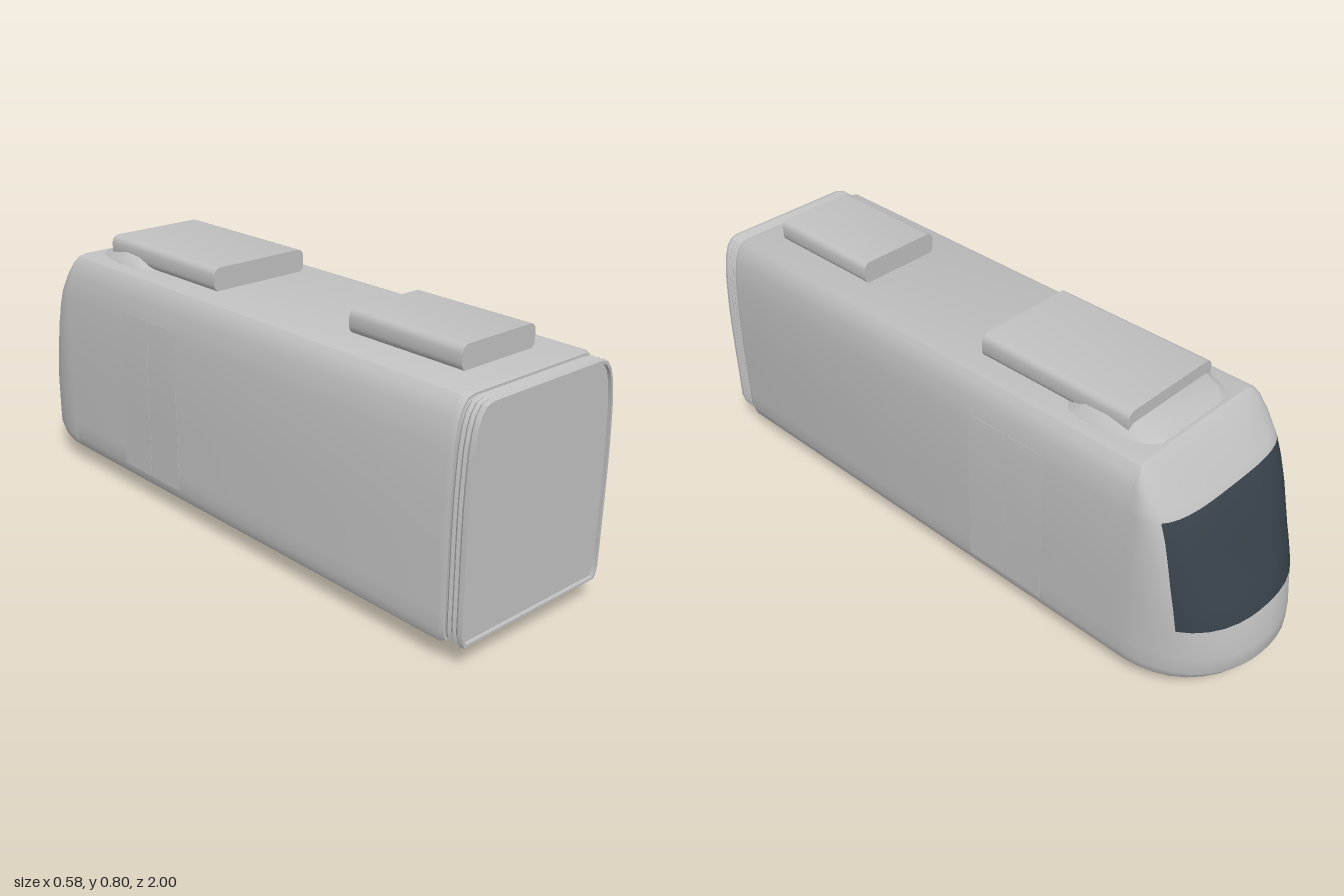
import * as THREE from 'three';
import { toCreasedNormals } from 'three/addons/utils/BufferGeometryUtils.js';

const paint = new THREE.MeshStandardMaterial({ color: 0xc0c0c0 });
paint.name = 'light grey paint';
const glass = new THREE.MeshStandardMaterial({ color: 0x38424a });
glass.name = 'dark glass';

// Nose rows, top to bottom: height, half width, foremost z
const ROWS = [
  [0.725, 0.215, -0.70], [0.718, 0.24, -0.712], [0.695, 0.258, -0.737], [0.66, 0.27, -0.77],
  [0.61, 0.278, -0.812], [0.59, 0.28, -0.828], [0.54, 0.283, -0.857], [0.47, 0.286, -0.887],
  [0.4, 0.287, -0.914], [0.33, 0.287, -0.945], [0.255, 0.286, -0.977], [0.155, 0.285, -0.997],
  [0.1, 0.284, -0.997], [0.075, 0.277, -0.978], [0.065, 0.272, -0.968],
];
const NOSE_Z = -0.7;
const MID_Y = 0.395;

function geometryFrom(pos, idx) {
  const g = new THREE.BufferGeometry();
  g.setAttribute('position', new THREE.Float32BufferAttribute(pos, 3));
  g.setIndex(idx);
  return g;
}

// Skin over counter-clockwise xy loops, each { z, pts }, closed at both ends
function loft(stations, crease = 0.6) {
  const n = stations[0].pts.length;
  const pos = [], idx = [];
  for (const s of stations) for (const [x, y] of s.pts) pos.push(x, y, s.z);
  for (let i = 0; i < stations.length - 1; i++) {
    for (let j = 0; j < n; j++) {
      const a = i * n + j, b = i * n + (j + 1) % n;
      idx.push(a, b, b + n, a, b + n, a + n);
    }
  }
  const cap = (s) => THREE.ShapeUtils.triangulateShape(
    s.pts.map(([x, y]) => new THREE.Vector2(x, y)), []);
  const last = (stations.length - 1) * n;
  for (const [a, b, c] of cap(stations[0])) idx.push(a, c, b);
  for (const [a, b, c] of cap(stations[stations.length - 1])) idx.push(last + a, last + b, last + c);
  return toCreasedNormals(geometryFrom(pos, idx), crease);
}

// Body cross-section scaled about its middle
function section(scale) {
  const right = [...ROWS].reverse().map(([y, w]) => [w * scale, MID_Y + (y - MID_Y) * scale]);
  const left = [...right].reverse().map(([x, y]) => [-x, y]);
  return [...right, ...left];
}

const rings = (list) => list.map(([z, s]) => ({ z, pts: section(s) }));

// Rounded nose with the windscreen as a second material group
function noseGeometry() {
  const half = [0, 1, 3, 6, 12, 22, 32, 42, 52, 62, 72, 80, 86];
  const cols = [...half, 90, ...[...half].reverse().map((t) => 180 - t)];
  const n = cols.length;
  const pos = [], painted = [], glazed = [];
  ROWS.forEach(([y, w, zf]) => {
    // Plan outline gets squarer towards the roof
    const p = 2 / THREE.MathUtils.mapLinear(Math.max(y, 0.2), 0.2, 0.725, 2.2, 3.8);
    for (const deg of cols) {
      const t = THREE.MathUtils.degToRad(deg);
      const c = deg === 90 ? 0 : Math.cos(t);
      const s = deg === 180 ? 0 : Math.sin(t);
      pos.push(w * Math.sign(c) * Math.abs(c) ** p, y, NOSE_Z + (zf - NOSE_Z) * s ** p);
    }
  });
  for (let r = 0; r < ROWS.length - 1; r++) {
    for (let c = 0; c < n - 1; c++) {
      const inGlass = ROWS[r][0] <= 0.59 && ROWS[r + 1][0] >= 0.255
        && cols[c] >= 32 && cols[c + 1] <= 148;
      const a = r * n + c, b = a + n;
      (inGlass ? glazed : painted).push(a, b, b + 1, a, b + 1, a + 1);
    }
  }
  const g = geometryFrom(pos, [...painted, ...glazed]);
  g.computeVertexNormals();
  g.addGroup(0, painted.length, 0);
  g.addGroup(painted.length, glazed.length, 1);

  // Flat floor under the nose
  const start = (ROWS.length - 1) * n * 3;
  const floorPos = [0, ROWS[ROWS.length - 1][0], NOSE_Z, ...pos.slice(start)];
  const floorIdx = [];
  for (let c = 1; c < n; c++) floorIdx.push(0, c + 1, c);
  const floor = geometryFrom(floorPos, floorIdx);
  floor.computeVertexNormals();
  return { g, floor };
}

// Roof box with softened long edges
function roofBox(w, y0, y1, z0, z1) {
  const r = 0.022, pts = [];
  const corners = [[w - r, y0 + r, -90], [w - r, y1 - r, 0], [-w + r, y1 - r, 90], [-w + r, y0 + r, 180]];
  for (const [cx, cy, a0] of corners) {
    for (let k = 0; k <= 3; k++) {
      const a = THREE.MathUtils.degToRad(a0 + k * 30);
      pts.push([cx + r * Math.cos(a), cy + r * Math.sin(a)]);
    }
  }
  return loft([{ z: z0, pts }, { z: z1, pts }], 0.7);
}

export function createModel() {
  const model = new THREE.Group();
  model.name = 'tramCar';
  const add = (name, geo, mat = paint, parent = model) => {
    const m = new THREE.Mesh(geo, mat);
    m.name = name;
    parent.add(m);
    return m;
  };

  // Shell and nose
  add('bodyShell', loft(rings([[NOSE_Z, 1], [0.925, 1], [0.942, 0.98]])));
  const nose = noseGeometry();
  add('noseAndWindscreen', nose.g, [paint, glass]);
  add('noseFloor', nose.floor);

  // Ribbed gangway with a recessed end panel
  add('gangway', loft(rings([
    [0.935, 0.962], [0.948, 0.962], [0.955, 0.978], [0.963, 0.962], [0.971, 0.978],
    [0.979, 0.962], [0.987, 0.978], [1, 0.97], [1, 0.948], [0.99, 0.946],
  ]), 0.4));

  // Roof equipment
  add('frontRoofUnit', roofBox(0.174, 0.722, 0.795, -0.605, -0.083));
  add('rearRoofUnit', roofBox(0.14, 0.722, 0.793, 0.445, 0.838));
  const fairing = [
    [-0.69, 0.15, 0.001], [-0.65, 0.18, 0.018], [-0.6, 0.195, 0.032], [-0.53, 0.207, 0.037],
    [-0.46, 0.207, 0.033], [-0.42, 0.2, 0.018], [-0.39, 0.17, 0.001],
  ].map(([z, w, h]) => ({
    z,
    pts: [[w, 0.72], [w - 0.012, 0.725 + h * 0.35], [w - 0.04, 0.725 + h],
      [-w + 0.04, 0.725 + h], [-w + 0.012, 0.725 + h * 0.35], [-w, 0.72]],
  }));
  add('roofFairing', loft(fairing, 0.9));

  // Double doors, following the curve of the sides
  const doorRows = ROWS.filter(([y]) => y >= 0.1 && y <= 0.61).reverse();
  for (const side of [1, -1]) {
    const outer = doorRows.map(([y, w]) => [side * (w + 0.001), y]);
    const inner = doorRows.map(([y, w]) => [side * (w - 0.004), y]).reverse();
    const pts = [...outer, ...inner];
    if (side < 0) pts.reverse();
    for (const [z0, z1] of [[-0.415, -0.277], [-0.273, -0.135]]) {
      add(side > 0 ? 'leftDoorLeaf' : 'rightDoorLeaf', loft([{ z: z0, pts }, { z: z1, pts }]));
    }
  }

  // Bogie: two axles with flanged wheels
  for (const z of [0.622, 0.235]) {
    const wheelset = new THREE.Group();
    wheelset.name = 'wheelset';
    wheelset.position.set(0, 0.07, z);
    model.add(wheelset);
    const disc = (name, r, len, x) => {
      const m = add(name, new THREE.CylinderGeometry(r, r, len, 32), paint, wheelset);
      m.rotation.z = Math.PI / 2;
      m.position.x = x;
    };
    disc('axle', 0.012, 0.3, 0);
    for (const side of [1, -1]) {
      disc('wheelTread', 0.062, 0.028, side * 0.164);
      disc('wheelFlange', 0.07, 0.008, side * 0.159);
    }
  }
  return model;
}
